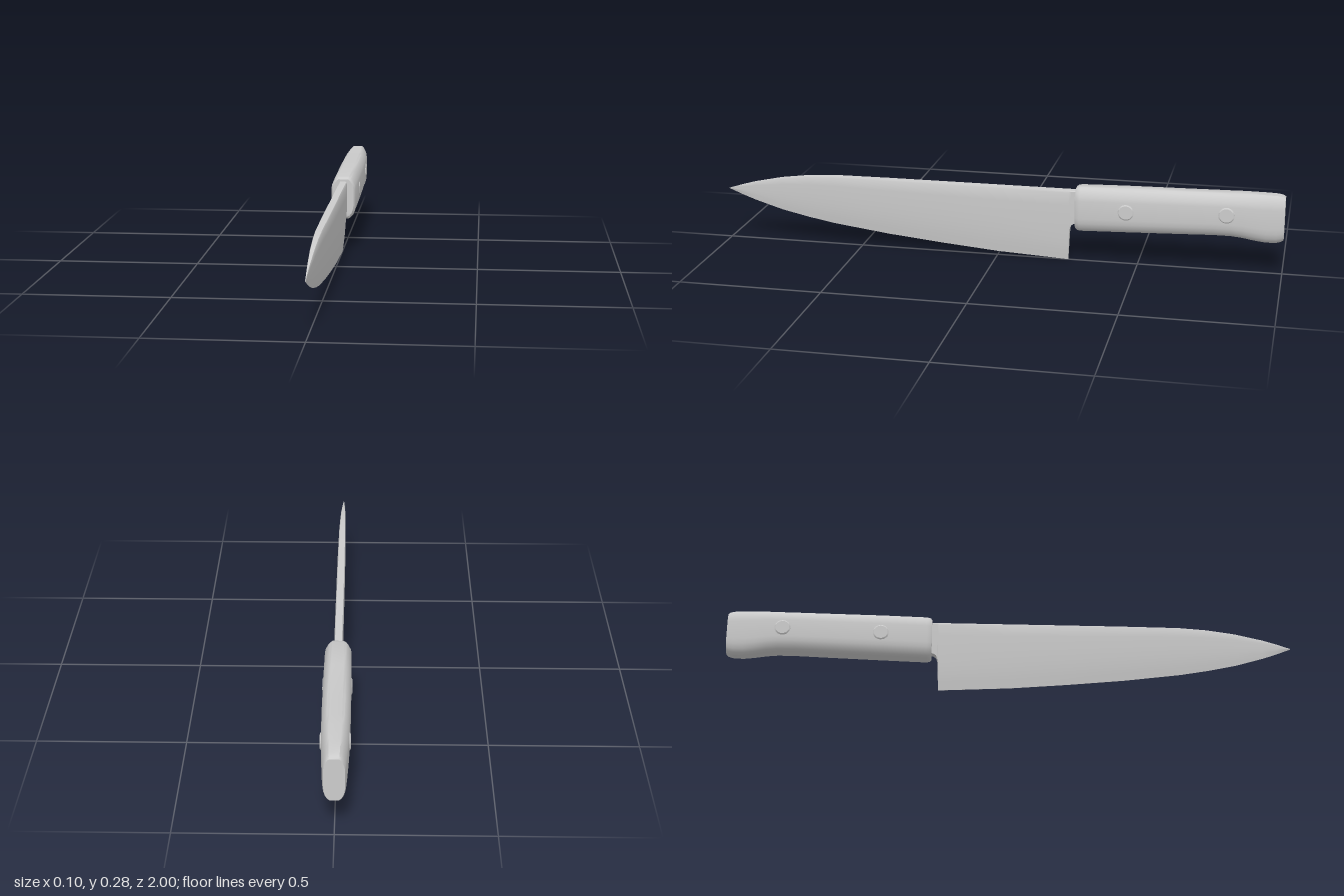
import * as THREE from 'three';
import { toCreasedNormals } from 'three/addons/utils/BufferGeometryUtils.js';

const material = new THREE.MeshStandardMaterial({ color: 0xcccccc });

// Closed skin over rings of [x, y, z], each counter-clockwise from +z, running towards -z
function loft(rings, crease) {
  const n = rings[0].length, last = (rings.length - 1) * n, index = [];
  for (let i = 0; i < rings.length - 1; i++) {
    for (let j = 0; j < n; j++) {
      const a = i * n + j, b = i * n + (j + 1) % n;
      index.push(a, a + n, b, b, a + n, b + n);
    }
  }
  for (let j = 0; j < n / 2 - 1; j++) {
    // End caps, as strips between the mirrored halves
    const k = n - 1 - j;
    index.push(j, j + 1, k, j + 1, k - 1, k);
    index.push(last + j, last + k, last + j + 1, last + j + 1, last + k, last + k - 1);
  }
  const geometry = new THREE.BufferGeometry();
  geometry.setAttribute('position', new THREE.Float32BufferAttribute(rings.flat(2), 3));
  geometry.setIndex(index);
  return toCreasedNormals(geometry, crease);
}

// Mirrors a right-hand outline (bottom to top) into a full ring
function mirrorRing(half, z) {
  return [
    ...half.map(([x, y]) => [x, y, z]),
    ...half.slice().reverse().map(([x, y]) => [-x, y, z]),
  ];
}

function createBlade() {
  // z, spine height, edge height, half thickness, bottom of the metal where cut away
  const stations = [
    [1.0, 0.191, 0.189, 0.0006],
    [0.95, 0.207, 0.169, 0.0025],
    [0.9, 0.221, 0.151, 0.0045],
    [0.8, 0.242, 0.121, 0.008],
    [0.7, 0.255, 0.099, 0.0105],
    [0.6, 0.261, 0.081, 0.0125],
    [0.4, 0.262, 0.055, 0.014],
    [0.2, 0.262, 0.035, 0.0145],
    [0.0, 0.262, 0.018, 0.0145],
    [-0.255, 0.262, 0.005, 0.0145],
    [-0.259, 0.262, 0.005, 0.0145, 0.118],
    [-0.264, 0.262, 0.005, 0.0145, 0.134],
    [-0.275, 0.262, 0.005, 0.0145, 0.142],
    [-0.32, 0.262, 0.005, 0.0145, 0.144],
  ];
  const levels = [0, 0.06, 0.14, 0.25, 0.4, 0.6, 0.8, 0.975, 1];
  const rings = stations.map(([z, top, edge, w, bottom = edge]) => mirrorRing(levels.map((l) => {
    const y = bottom + (top - bottom) * l;
    const t = (y - edge) / (top - edge);
    const thickness = Math.max(0.03, 1 - Math.pow(1 - t, 3));
    return [w * thickness * (l === 1 ? 0.8 : 1), y];
  }), z));
  return loft(rings, 0.6);
}

function createHandle() {
  // z, top, bottom, half width
  const stations = [
    [-0.28, 0.271, 0.129, 0.038],
    [-0.285, 0.276, 0.123, 0.042],
    [-0.297, 0.279, 0.12, 0.045],
    [-0.45, 0.283, 0.125, 0.046],
    [-0.65, 0.286, 0.132, 0.046],
    [-0.76, 0.288, 0.136, 0.045],
    [-0.82, 0.289, 0.136, 0.044],
    [-0.86, 0.29, 0.132, 0.043],
    [-0.9, 0.29, 0.125, 0.041],
    [-0.94, 0.29, 0.12, 0.039],
    [-0.975, 0.289, 0.121, 0.037],
    [-0.992, 0.286, 0.126, 0.035],
    [-1.0, 0.281, 0.132, 0.033],
  ];
  // Half outline: share of the width, share of the height
  const outline = [
    [0.4, 0], [0.62, 0.04], [0.82, 0.11], [0.95, 0.21], [1, 0.32],
    [1, 0.72], [0.95, 0.81], [0.8, 0.9], [0.63, 0.965], [0.45, 1],
  ];
  return loft(stations.map(([z, top, bottom, w]) => mirrorRing(
    outline.map(([u, v]) => [u * w, bottom + (top - bottom) * v]), z)), 0.7);
}

// Pin through the handle, its rounded heads standing just proud of both sides
function createRivet(reach) {
  const r = 0.028;
  const profile = [
    [0, -reach], [r * 0.85, -reach], [r, -reach + 0.003],
    [r, reach - 0.003], [r * 0.85, reach], [0, reach],
  ].map(([x, y]) => new THREE.Vector2(x, y));
  return toCreasedNormals(new THREE.LatheGeometry(profile, 32).rotateZ(Math.PI / 2), 0.5);
}

export function createModel() {
  const group = new THREE.Group();
  const add = (name, geometry) => {
    const mesh = new THREE.Mesh(geometry, material);
    mesh.name = name;
    group.add(mesh);
    return mesh;
  };
  add('blade', createBlade());
  add('handle', createHandle());
  add('frontRivet', createRivet(0.049)).position.set(0, 0.205, -0.46);
  add('rearRivet', createRivet(0.048)).position.set(0, 0.217, -0.805);
  return group;
}
